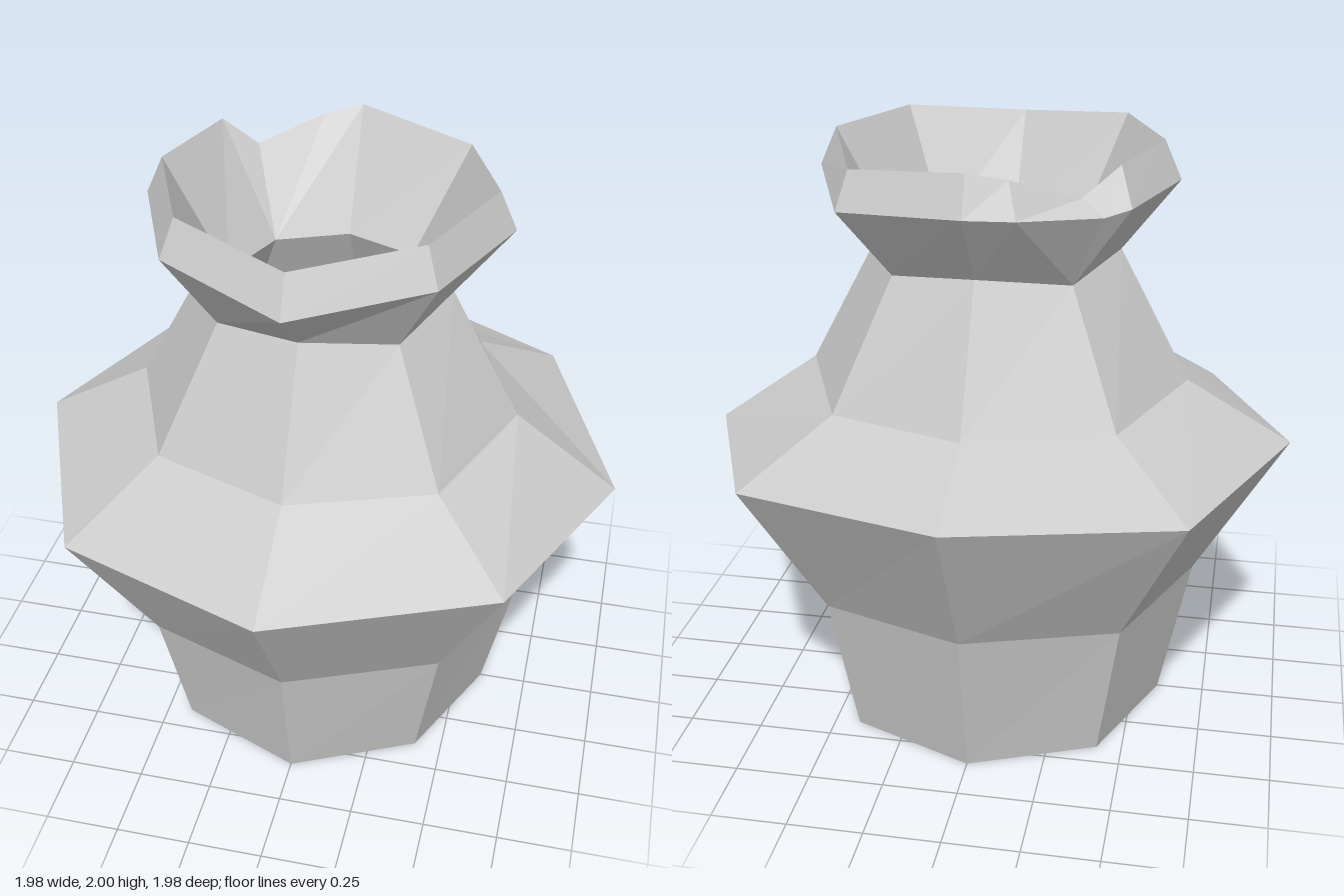
import * as THREE from 'three';

const material = new THREE.MeshStandardMaterial({ color: 0xcccccc, flatShading: true });

// One eight-sided ring. Corner 0 faces +z, corner 2 faces +x.
// 'moved' gives hand-worn corners as { corner: [radius, y] }.
// Corner 5 (back, -x) becomes three points so the lip can be chipped there.
function ring(radius, y, moved = {}, diagonalY = y, chip = null) {
  const points = [];
  for (let i = 0; i < 8; i++) {
    const [r, h] = moved[i] ?? [radius, i % 2 ? diagonalY : y];
    const a = (i * Math.PI) / 4;
    const p = new THREE.Vector3(r * Math.sin(a), h, r * Math.cos(a));
    if (i !== 5) points.push(p);
    else if (chip) points.push(...chip.map((c) => new THREE.Vector3(...c)));
    else points.push(p, p, p);
  }
  return points;
}

// Skin successive rings with flat facets, leaving out collapsed triangles.
function skin(name, rings) {
  const positions = [];
  const triangle = (a, b, c) => {
    if (new THREE.Triangle(a, b, c).getArea() < 1e-7) return;
    for (const p of [a, b, c]) positions.push(p.x, p.y, p.z);
  };
  for (let j = 0; j + 1 < rings.length; j++) {
    const low = rings[j], high = rings[j + 1], n = low.length;
    for (let i = 0; i < n; i++) {
      const k = (i + 1) % n;
      triangle(low[i], low[k], high[k]);
      triangle(low[i], high[k], high[i]);
    }
  }
  const geometry = new THREE.BufferGeometry();
  geometry.setAttribute('position', new THREE.Float32BufferAttribute(positions, 3));
  geometry.computeVertexNormals();
  const mesh = new THREE.Mesh(geometry, material);
  mesh.name = name;
  return mesh;
}

export function createModel() {
  const group = new THREE.Group();
  group.name = 'vase';

  // Rings shared between neighbouring parts
  const foot = ring(0.588, 0, { 1: [0.58, 0.015] });
  const belly = ring(0.99, 1, { 2: [0.985, 0.95], 4: [0.985, 1.06], 7: [0.99, 0.955] });
  const neck = ring(0.406, 1.64, {}, 1.6);
  const flare = ring(0.588, 1.875, { 0: [0.61, 1.83], 3: [0.6, 1.835] }, 1.875,
    [[-0.15, 1.865, -0.54], [-0.39, 1.85, -0.4], [-0.47, 1.875, -0.38]]);
  const rim = ring(0.532, 2, { 0: [0.55, 1.96], 3: [0.55, 1.96] }, 2,
    [[-0.12, 1.975, -0.49], [-0.32, 1.9, -0.37], [-0.43, 1.995, -0.33]]);
  const throat = ring(0.33, 1.62);

  // Outside
  group.add(skin('base', [ring(0, 0), foot]));
  group.add(skin('lowerBody', [
    foot,
    ring(0.69, 0.5, { 2: [0.69, 0.465], 4: [0.71, 0.54], 7: [0.69, 0.465] }),
    belly,
  ]));
  group.add(skin('shoulder', [belly, ring(0.64, 1.2, {}, 1.18), neck]));

  // Lip with the chipped corner
  group.add(skin('lip', [neck, flare, rim]));

  // Hollow inside
  group.add(skin('mouth', [rim, throat]));
  group.add(skin('interior', [
    throat, ring(0.56, 1.17), ring(0.88, 0.99), ring(0.61, 0.52), ring(0, 0.08),
  ]));
  return group;
}
